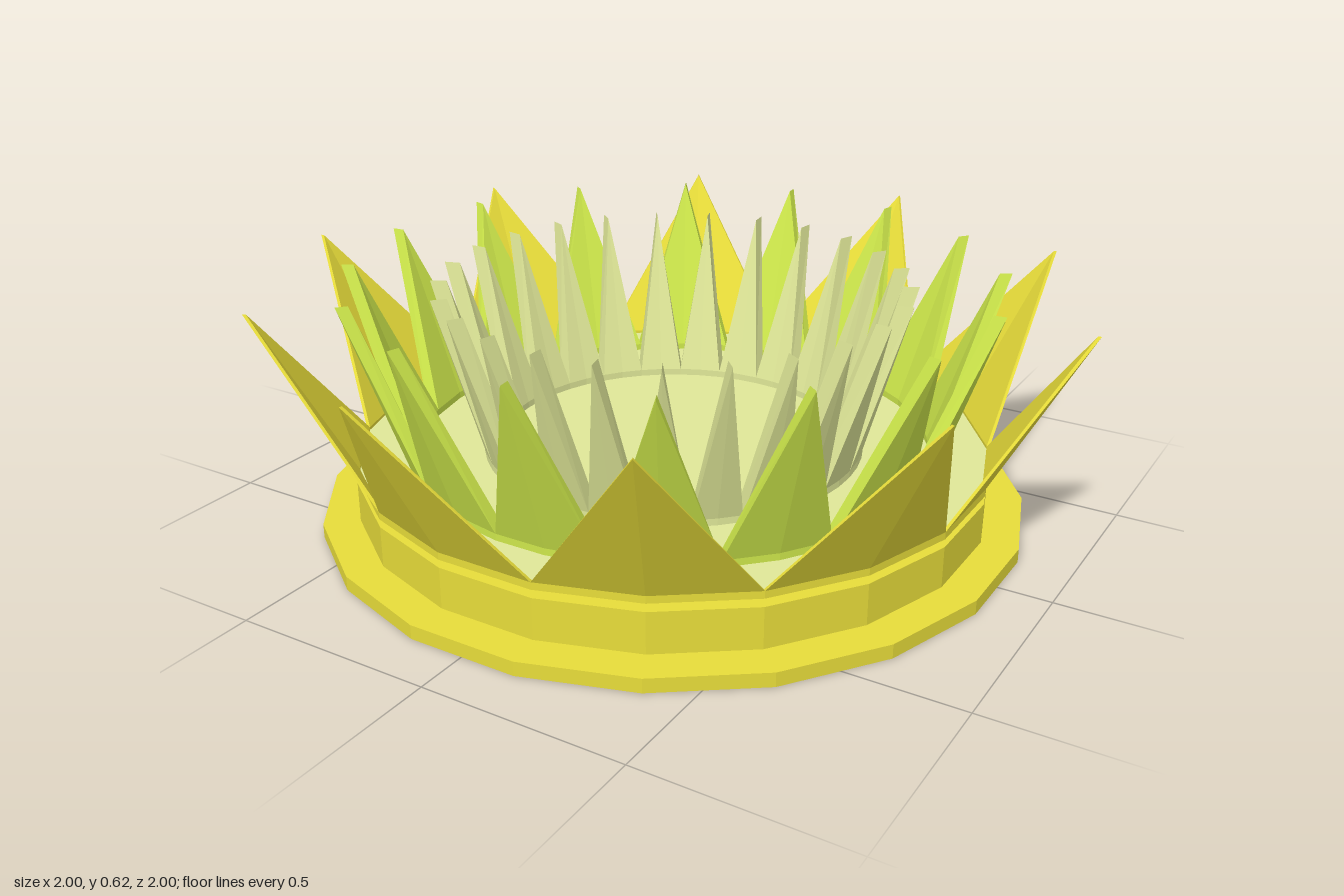
import * as THREE from 'three';

const rad = THREE.MathUtils.degToRad;

function material(name, color) {
  const m = new THREE.MeshStandardMaterial({ color, flatShading: true });
  m.name = name;
  return m;
}

// Pointed petal of even thickness, standing on a low curved skirt.
function petalGeometry({ half, radius, thick, tip, bottom, valley, top }) {
  const at = (deg, r, y) => [r * Math.cos(rad(deg)), y, r * Math.sin(rad(deg))];
  const arc = (r, y) => [-half, 0, half].map(a => at(a, r, y));
  const inner = radius - thick;
  const [lo, mo, ro] = arc(radius, valley);
  const [li, mi, ri] = arc(inner, valley);
  const [lob, mob, rob] = arc(radius, bottom);
  const [lib, mib, rib] = arc(inner, bottom);
  const to = at(0, tip, top);
  const ti = at(0, tip - thick, top);
  const quad = (a, b, c, d) => [[a, b, c], [a, c, d]];
  const faces = [
    [mo, lo, to], [ro, mo, to],                                   // outside
    [li, mi, ti], [mi, ri, ti],                                   // inside
    ...quad(lo, li, ti, to), ...quad(ri, ro, to, ti),             // edges
    ...quad(mob, lob, lo, mo), ...quad(rob, mob, mo, ro),         // outer skirt
    ...quad(lib, mib, mi, li), ...quad(mib, rib, ri, mi),         // inner skirt
    ...quad(lob, mob, mib, lib), ...quad(mob, rob, rib, mib),     // underside
  ];
  const g = new THREE.BufferGeometry();
  g.setAttribute('position', new THREE.Float32BufferAttribute(faces.flat(2), 3));
  g.computeVertexNormals();
  return g;
}

export function createModel() {
  const model = new THREE.Group();
  model.name = 'flower';
  const yellow = material('yellow', 0xe8dd3a);
  const green = material('leaf green', 0xd0ea4c);
  const pale = material('pale green', 0xe1e999);

  // Twenty-sided discs, from y0 to y1
  const disc = (name, r, y0, y1, mat) => {
    const g = new THREE.CylinderGeometry(r, r, y1 - y0, 20, 1, false, rad(9));
    const mesh = new THREE.Mesh(g, mat);
    mesh.name = name;
    mesh.position.y = (y0 + y1) / 2;
    model.add(mesh);
  };
  disc('baseFlange', 0.88, 0, 0.035, yellow);
  disc('baseDrum', 0.79, 0.035, 0.137, yellow);
  disc('flowerFloor', 0.785, 0.156, 0.168, pale);

  // Three rings of petals
  const ring = (name, count, start, mat, shape) => {
    const group = new THREE.Group();
    group.name = name + 'Ring';
    const g = petalGeometry({ half: 180 / count, ...shape });
    for (let i = 0; i < count; i++) {
      const petal = new THREE.Mesh(g, mat);
      petal.name = name;
      petal.rotation.y = -rad(start + (360 * i) / count);
      group.add(petal);
    }
    model.add(group);
  };
  ring('outerPetal', 10, -9, yellow,
    { radius: 0.79, thick: 0.008, tip: 1.013, bottom: 0.157, valley: 0.175, top: 0.59 });
  ring('middlePetal', 16, -6.3, green,
    { radius: 0.665, thick: 0.03, tip: 0.812, bottom: 0.138, valley: 0.185, top: 0.62 });
  ring('innerPetal', 25, 90, pale,
    { radius: 0.475, thick: 0.04, tip: 0.59, bottom: 0.16, valley: 0.185, top: 0.595 });

  return model;
}
